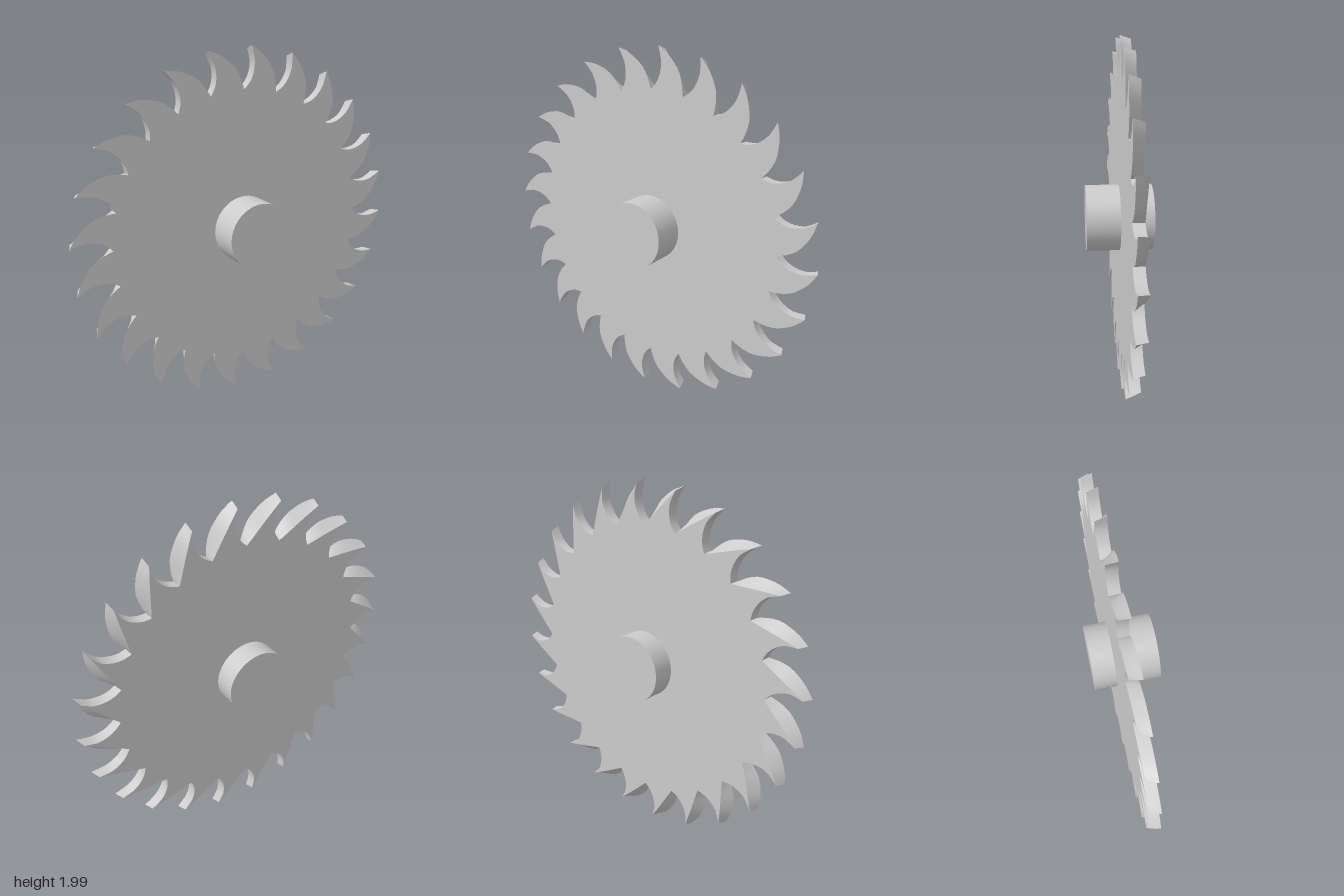
import * as THREE from 'three';
import { mergeGeometries } from 'three/addons/utils/BufferGeometryUtils.js';

const TEETH = 24, STEP = 360 / TEETH, THICK = 0.06, CENTER_Y = 1.004;

// Point from a clockwise angle in degrees (0 is straight up) and a radius
const polar = ([deg, r]) => {
  const a = THREE.MathUtils.degToRad(deg);
  return new THREE.Vector2(Math.sin(a) * r, Math.cos(a) * r);
};
const spline = (pts, n) => new THREE.SplineCurve(pts.map(polar)).getPoints(n);

// One tooth: hollow cutting edge from gullet to tip, then the arched back to the next gullet
const frontEdges = [
  spline([[0, 0.77], [2.3, 0.802], [3.8, 0.85], [4.1, 0.92], [2.7, 0.996]], 8),
  spline([[2.7, 0.996], [6, 0.965], [9, 0.926], [11.8, 0.88], [13.8, 0.822], [15, 0.77]], 10),
];
// On the rear face the back of the tooth is ground to a straight line
const rearEdges = [
  spline([[0, 0.77], [2.4, 0.802], [4, 0.85], [4.4, 0.91], [3.1, 0.976]], 8),
  spline([[3.1, 0.976], [5.7, 0.921], [8.5, 0.868], [11.5, 0.818], [15, 0.77]], 10),
];

const turn = (pts, i) => {
  const a = THREE.MathUtils.degToRad(-i * STEP);
  return pts.map((p) => p.clone().rotateAround(new THREE.Vector2(), a));
};

// Flat face of the blade
function cap(edges, z, flip) {
  const outline = [];
  for (let i = 0; i < TEETH; i++) edges.forEach((e) => outline.push(...turn(e, i).slice(0, -1)));
  const geo = new THREE.ShapeGeometry(new THREE.Shape(outline));
  geo.deleteAttribute('uv');
  if (flip) geo.setIndex(Array.from(geo.index.array).reverse());
  geo.translate(0, 0, z);
  geo.computeVertexNormals();
  return geo;
}

// Smooth strip joining a front edge to its rear edge
function wall(front, rear) {
  const pos = [], index = [];
  front.forEach((p, k) => {
    pos.push(p.x, p.y, 0, rear[k].x, rear[k].y, -THICK);
    const a = 2 * k;
    if (k < front.length - 1) index.push(a, a + 2, a + 3, a, a + 3, a + 1);
  });
  const geo = new THREE.BufferGeometry();
  geo.setAttribute('position', new THREE.Float32BufferAttribute(pos, 3));
  geo.setIndex(index);
  geo.computeVertexNormals();
  return geo;
}

export function createModel() {
  const group = new THREE.Group();
  group.name = 'circularSawBlade';
  const material = new THREE.MeshStandardMaterial({ color: 0xcccccc });

  // Toothed disc
  const parts = [cap(frontEdges, 0, false), cap(rearEdges, -THICK, true)];
  for (let i = 0; i < TEETH; i++) {
    frontEdges.forEach((e, k) => parts.push(wall(turn(e, i), turn(rearEdges[k], i))));
  }
  const blade = new THREE.Mesh(mergeGeometries(parts), material);
  blade.name = 'toothedBlade';
  blade.position.y = CENTER_Y;
  group.add(blade);

  // Round hub through the middle
  const hub = new THREE.Mesh(new THREE.CylinderGeometry(0.185, 0.185, 0.37, 64), material);
  hub.name = 'hub';
  hub.rotation.x = Math.PI / 2;
  hub.position.y = CENTER_Y;
  group.add(hub);

  return group;
}
